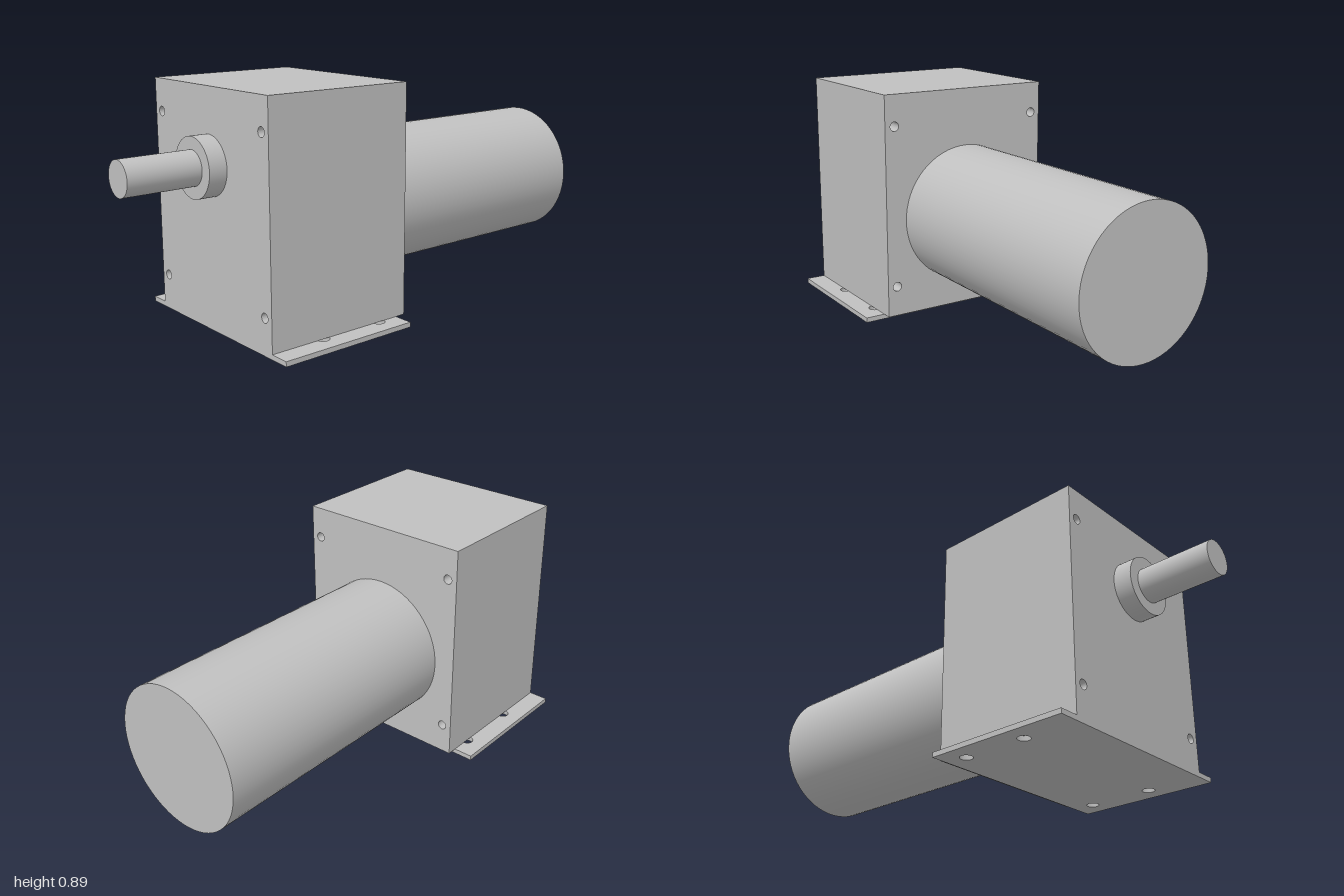
import * as THREE from 'three';

const metal = new THREE.MeshStandardMaterial({ color: 0xc0c0c0 });
metal.name = 'grey metal';

function part(name, geometry) {
  const mesh = new THREE.Mesh(geometry, metal);
  mesh.name = name;
  return mesh;
}

// Rectangular block with round through holes, extruded along +z from z = 0
function drilledBlock(x0, x1, y0, y1, depth, holes, radius) {
  const shape = new THREE.Shape([
    new THREE.Vector2(x0, y0), new THREE.Vector2(x1, y0),
    new THREE.Vector2(x1, y1), new THREE.Vector2(x0, y1),
  ]);
  for (const [x, y] of holes) {
    shape.holes.push(new THREE.Path().absarc(x, y, radius, 0, Math.PI * 2, true));
  }
  return new THREE.ExtrudeGeometry(shape, { depth, bevelEnabled: false, curveSegments: 24 });
}

// Cylinder lying along z between two depths
function rod(name, radius, y, z0, z1) {
  const geometry = new THREE.CylinderGeometry(radius, radius, z1 - z0, 64);
  geometry.rotateX(Math.PI / 2).translate(0, y, (z0 + z1) / 2);
  return part(name, geometry);
}

export function createModel() {
  const model = new THREE.Group();
  model.name = 'gearMotor';

  // Gearbox with four bolt holes running front to back
  const bolts = [-0.315, 0.315].flatMap((x) => [[x, 0.137], [x, 0.768]]);
  const housing = drilledBlock(-0.355, 0.355, 0.019, 0.89, 0.605, bolts, 0.018);
  model.add(part('gearboxHousing', housing.translate(0, 0, 0.045)));

  // Mounting plate with four screw holes, laid flat
  const screws = [-0.353, 0.353].flatMap((x) => [[x, -0.17], [x, -0.43]]);
  const plate = drilledBlock(-0.432, 0.432, -0.65, -0.085, 0.019, screws, 0.024);
  model.add(part('mountingPlate', plate.rotateX(-Math.PI / 2)));

  // Motor behind, collar and output shaft in front
  model.add(
    rod('motorBody', 0.271, 0.395, -1, 0.045),
    rod('shaftCollar', 0.111, 0.611, 0.65, 0.72),
    rod('outputShaft', 0.065, 0.611, 0.72, 1),
  );
  return model;
}
